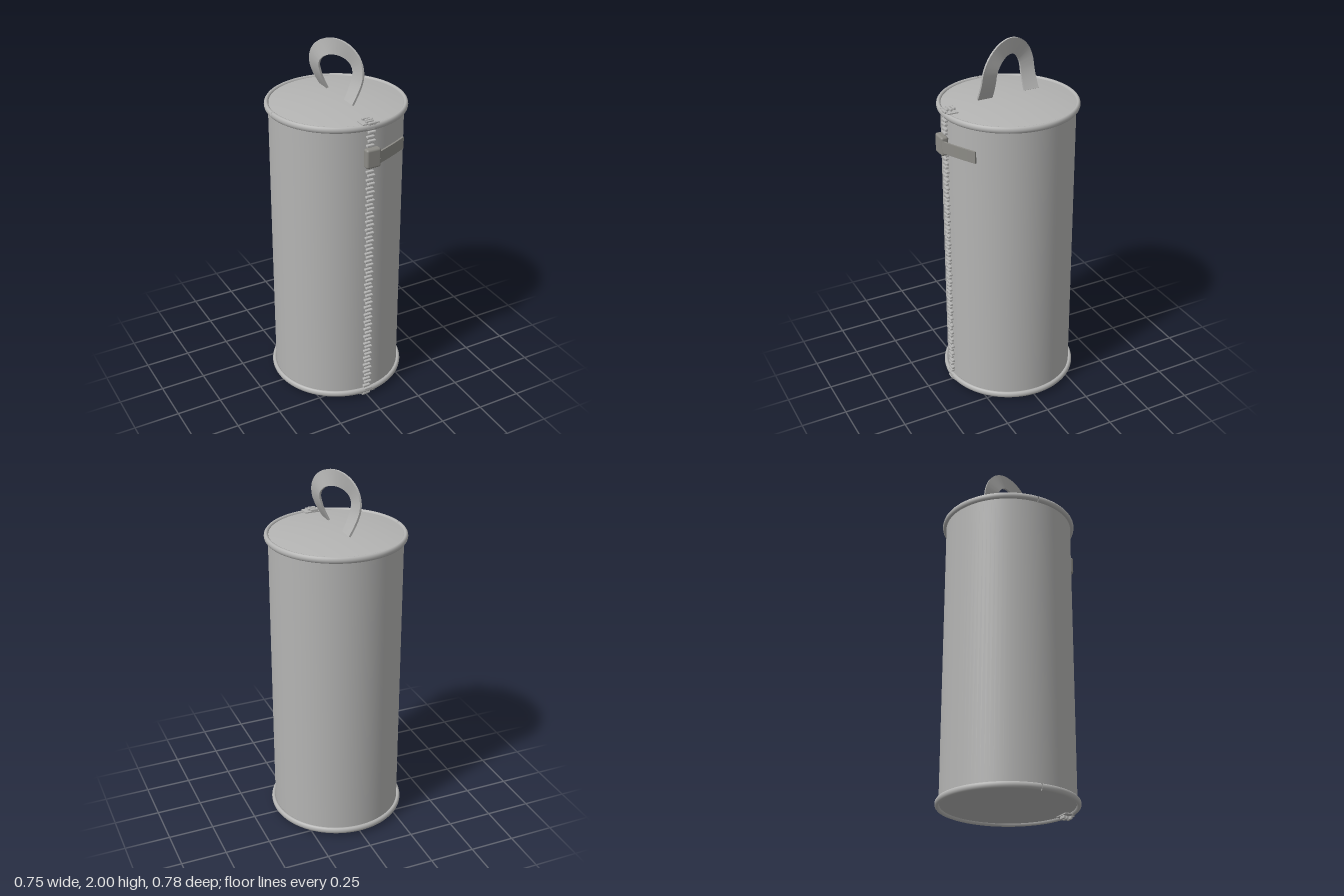
import * as THREE from 'three';
import { toCreasedNormals } from 'three/addons/utils/BufferGeometryUtils.js';
import { RoundedBoxGeometry } from 'three/addons/geometries/RoundedBoxGeometry.js';

const CZ = -0.014; // z of the bag's axis
const R = 0.353;   // body radius

// Flat strap swept along edges(t) = [inner, outer], given a thickness
function strap(edges, steps, thickness) {
  const pos = [], index = [];
  for (let i = 0; i <= steps; i++) {
    const t = i / steps;
    const [inner, outer] = edges(t);
    const mid = (s) => { const [a, b] = edges(s); return a.add(b).multiplyScalar(0.5); };
    const tangent = mid(Math.min(1, t + 0.005)).sub(mid(Math.max(0, t - 0.005))).normalize();
    const width = outer.clone().sub(inner).normalize();
    const n = tangent.cross(width).normalize().multiplyScalar(thickness / 2);
    for (const p of [outer.clone().add(n), inner.clone().add(n), inner.clone().sub(n), outer.clone().sub(n)]) pos.push(p.x, p.y, p.z);
    if (i < steps) {
      for (let j = 0; j < 4; j++) {
        const a = i * 4 + j, b = i * 4 + (j + 1) % 4;
        index.push(a, b, b + 4, a, b + 4, a + 4);
      }
    }
  }
  const e = steps * 4;
  index.push(0, 3, 2, 0, 2, 1, e, e + 1, e + 2, e, e + 2, e + 3);
  const g = new THREE.BufferGeometry();
  g.setAttribute('position', new THREE.Float32BufferAttribute(pos, 3));
  g.setIndex(index);
  return toCreasedNormals(g, 0.7);
}

export function createModel() {
  const model = new THREE.Group();
  const fabric = new THREE.MeshStandardMaterial({ color: 0xb4b4b3, side: THREE.DoubleSide });
  fabric.name = 'grey fabric';
  const metal = new THREE.MeshStandardMaterial({ color: 0x8c8b86 });
  metal.name = 'dark slider';

  const add = (name, geometry, material, x = 0, y = 0, z = 0, parent = model) => {
    const mesh = new THREE.Mesh(geometry, material);
    mesh.name = name;
    mesh.position.set(x, y, z);
    parent.add(mesh);
    return mesh;
  };

  // Cylindrical body
  add('body', new THREE.CylinderGeometry(R, R, 1.63, 96, 1, true), fabric, 0, 0.8475, CZ);

  // Slightly domed ends with piping that leaves a small seam gap at the side
  const dome = [];
  for (let i = 0; i <= 10; i++) {
    const r = 0.355 * (1 - i / 10);
    dome.push(new THREE.Vector2(r, 0.026 * (1 - (r / 0.355) ** 2)));
  }
  for (const [name, y, dir] of [['top', 1.662, 1], ['bottom', 0.034, -1]]) {
    const profile = dome.map((p) => new THREE.Vector2(p.x, p.y * dir));
    add(name + 'Lid', new THREE.LatheGeometry(dir > 0 ? profile : profile.reverse(), 96), fabric, 0, y, CZ);
    const ring = new THREE.TorusGeometry(0.361, 0.0125, 12, 120, Math.PI * 2 - 0.012);
    ring.rotateZ(Math.PI + 0.006).rotateX(-Math.PI / 2).scale(1, 1.4, 1);
    add(name + 'Piping', ring, fabric, 0, dir > 0 ? 1.655 : 0.036, CZ);
    // Zip tape end folded over the lid
    add(name + 'TapeEnd', new THREE.BoxGeometry(0.098, 0.006, 0.06), fabric, 0, y + dir * 0.012, 0.322);
  }

  // Zip tape along the front
  add('zipTape', new THREE.CylinderGeometry(R + 0.004, R + 0.004, 1.63, 8, 1, true, -0.128, 0.256), fabric, 0, 0.8475, CZ);

  // Interlocking teeth, alternating sides, continuing over both ends
  const teeth = new THREE.Group();
  teeth.name = 'zipTeeth';
  model.add(teeth);
  const tooth = new RoundedBoxGeometry(0.044, 0.014, 0.018, 1, 0.004);
  const count = 70;
  for (let i = 0; i < count; i++) {
    add('tooth', tooth, fabric, i % 2 ? 0.004 : -0.004, 0.02 + (i / (count - 1)) * 1.655, 0.35, teeth);
  }
  for (const y of [0.009, 1.68]) {
    for (let i = 0; i < 3; i++) {
      const t = add('endTooth', tooth, fabric, i % 2 ? 0.003 : -0.005, y, 0.3 + i * 0.02, teeth);
      t.rotation.x = Math.PI / 2;
    }
  }

  // Slider and its pull tab lying round the body
  add('slider', new RoundedBoxGeometry(0.083, 0.105, 0.04, 3, 0.012), metal, -0.001, 1.497, 0.368);
  const pull = new THREE.QuadraticBezierCurve3(
    new THREE.Vector3(0.036, 0, 0.379), new THREE.Vector3(0.13, 0, 0.34), new THREE.Vector3(0.226, 0, 0.287));
  const pullEdges = (t) => [1.465, 1.529].map((y) => pull.getPoint(t).setY(y));
  add('pullTab', strap(pullEdges, 12, 0.01), metal);

  // Carrying loop: an arch whose strap swings to one side, then the other
  const leg = 0.12, arcR = 0.135, arc = Math.PI * arcR, total = 2 * leg + arc;
  const loopEdges = (t) => {
    const s = t * total, swing = -Math.sin(Math.PI * 2 * t);
    const angle = THREE.MathUtils.clamp((s - leg) / arcR, 0, Math.PI);
    const base = s < leg ? 1.7 + s : s > leg + arc ? 1.7 + total - s : 1.82;
    return [[0.0925, 0.05], [0.1775, 0.062]].map(([r, x]) =>
      new THREE.Vector3(x * swing, base + r * Math.sin(angle), CZ + 0.001 - r * Math.cos(angle)));
  };
  add('carryLoop', strap(loopEdges, 64, 0.011), fabric);

  return model;
}
